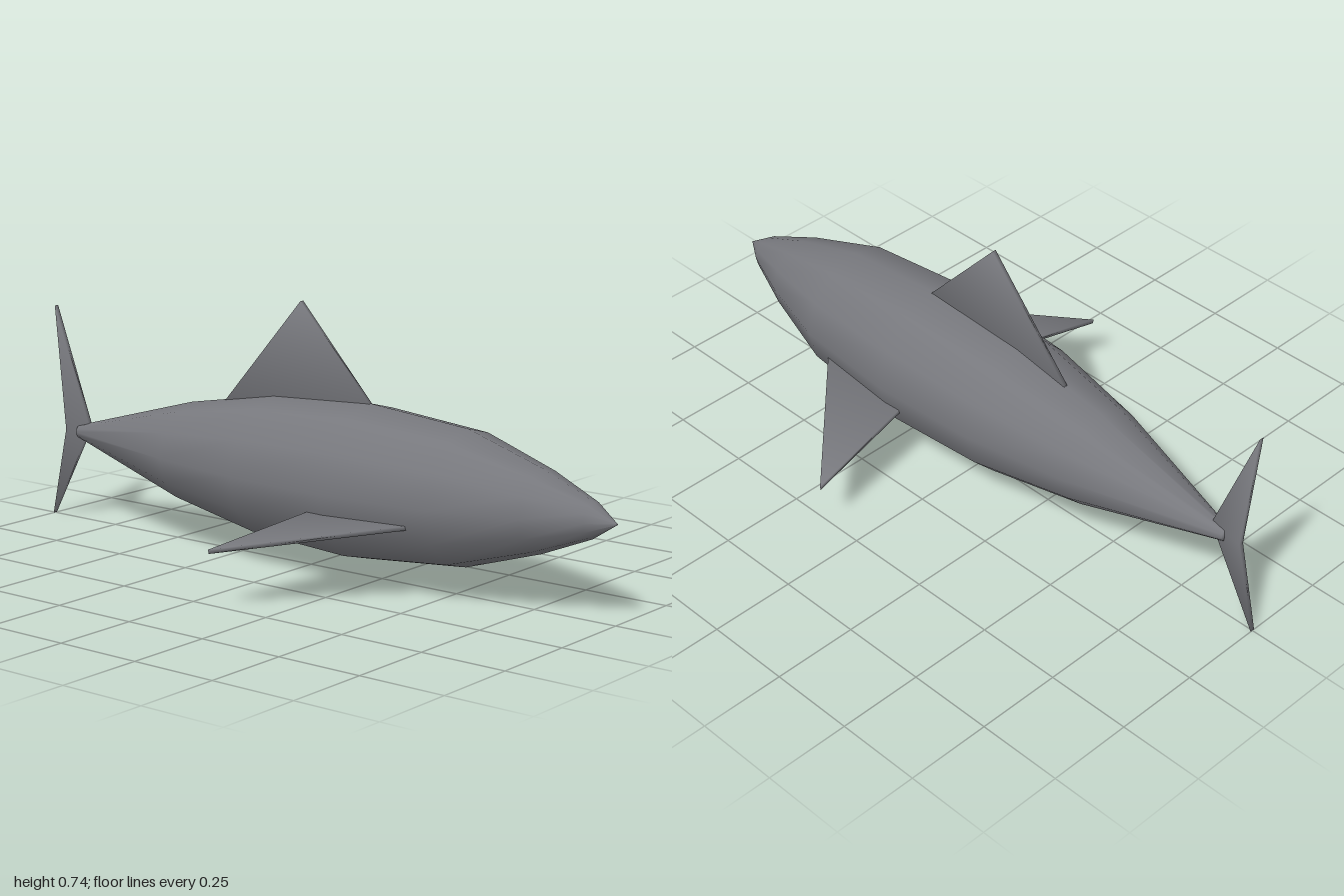
import * as THREE from 'three';

const AXIS_Y = 0.267; // height of the body axis

// Thin fin: a polygon of [x, y, z] points (fanned from the first) given a small
// thickness, with corner normals softened towards the rim.
function finGeometry(points, thickness) {
  const p = points.map((c) => new THREE.Vector3(...c));
  const count = p.length;
  const n = p[1].clone().sub(p[0]).cross(p[2].clone().sub(p[0])).normalize();
  const edgeNormal = (i) =>
    p[(i + 1) % count].clone().sub(p[i % count]).normalize().cross(n);

  const positions = [], normals = [], index = [];
  for (const side of [-1, 1]) {
    p.forEach((v, i) => {
      positions.push(...v.clone().addScaledVector(n, side * thickness / 2).toArray());
      const rim = edgeNormal(i).add(edgeNormal(i + count - 1)).normalize();
      normals.push(...rim.multiplyScalar(0.6).addScaledVector(n, side).normalize().toArray());
    });
  }
  for (let i = 1; i < count - 1; i++) {
    index.push(count, count + i, count + i + 1); // one face
    index.push(0, i + 1, i); // opposite face
  }
  for (let i = 0; i < count; i++) {
    const j = (i + 1) % count;
    index.push(i, j, count + j, i, count + j, count + i); // rim
  }
  const geometry = new THREE.BufferGeometry();
  geometry.setAttribute('position', new THREE.Float32BufferAttribute(positions, 3));
  geometry.setAttribute('normal', new THREE.Float32BufferAttribute(normals, 3));
  geometry.setIndex(index);
  return geometry;
}

export function createModel() {
  const group = new THREE.Group();
  group.name = 'fish';
  const skin = new THREE.MeshStandardMaterial({ color: 0x77787d });
  skin.name = 'grey skin';

  const add = (name, geometry) => {
    const mesh = new THREE.Mesh(geometry, skin);
    mesh.name = name;
    group.add(mesh);
  };

  // Twelve-sided spindle body, radius and z from tail to nose
  const profile = [
    [0, -0.89], [0.019, -0.888], [0.144, -0.44], [0.2, -0.13], [0.218, 0.2],
    [0.189, 0.53], [0.114, 0.77], [0.05, 0.925], [0, 1],
  ].map(([r, z]) => new THREE.Vector2(r, z));
  const body = new THREE.LatheGeometry(profile, 12);
  body.rotateX(Math.PI / 2);
  body.translate(0, AXIS_Y, 0);
  add('body', body);

  // Fin on the back, its base sunk into the body
  add('dorsalFin', finGeometry(
    [[0, 0.475, 0.215], [0, 0.743, -0.033], [0, 0.425, -0.315]], 0.012));

  // Forked tail: front, upper tip, notch, lower tip
  add('tailFin', finGeometry(
    [[0, 0.285, -0.843], [0, 0.64, -0.977], [0, 0.267, -0.94], [0, 0, -1]], 0.014));

  // Swept side fins
  for (const [name, s] of [['leftPectoralFin', 1], ['rightPectoralFin', -1]]) {
    add(name, finGeometry(
      [[s * 0.17, 0.21, 0.47], [s * 0.543, 0.159, 0.092], [s * 0.17, 0.207, 0.148]], 0.012));
  }

  return group;
}
